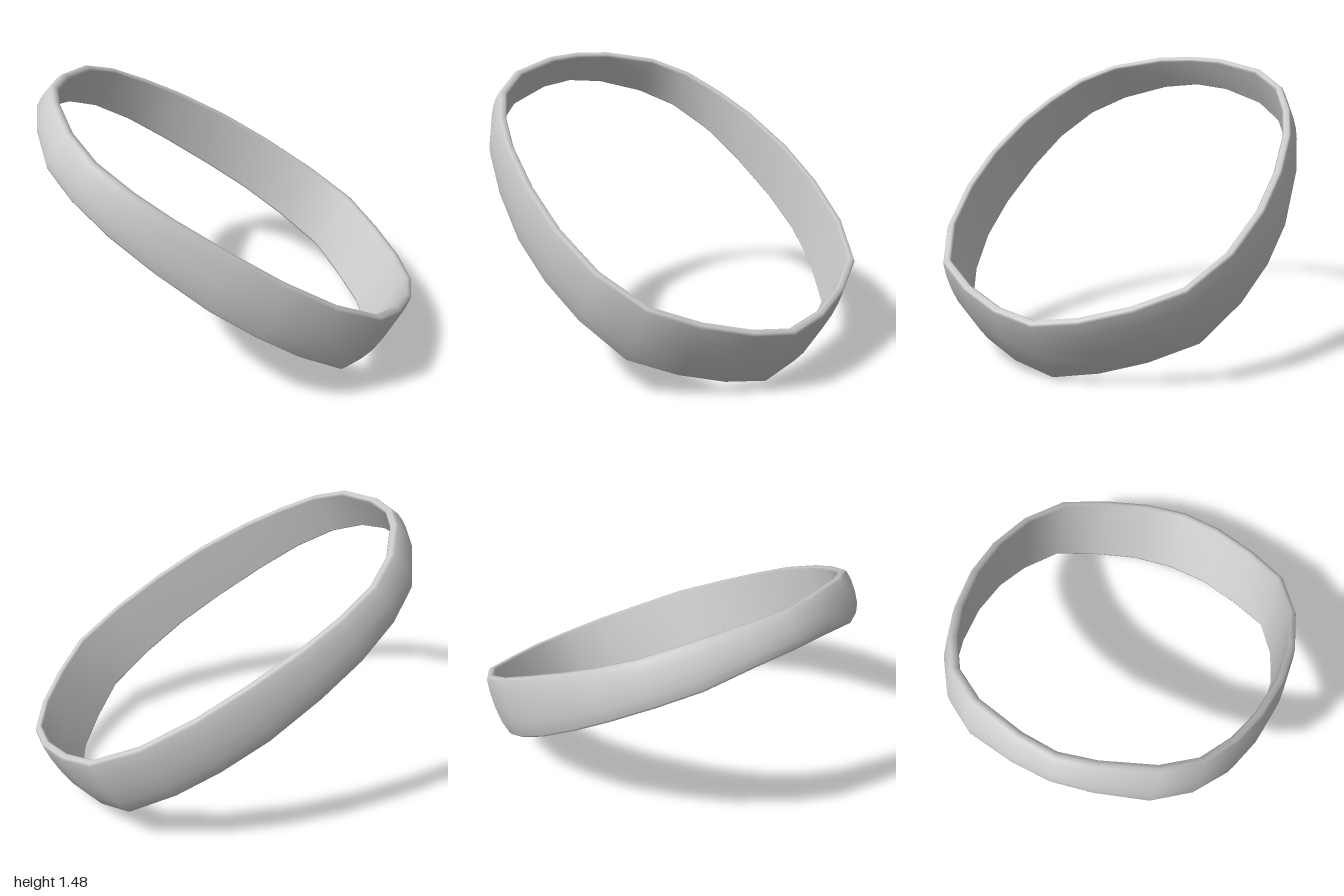
import * as THREE from 'three';

// Half of the ring, front (+x) to back (-x): top edge xyz, bottom edge xyz
const STATIONS = [
  [0.985, 0.33, 0, 0.772, 0.005, 0],
  [0.945, 0.36, 0.22, 0.735, 0.045, 0.225],
  [0.85, 0.42, 0.45, 0.65, 0.105, 0.44],
  [0.72, 0.505, 0.66, 0.53, 0.195, 0.655],
  [0.49, 0.645, 0.79, 0.31, 0.35, 0.77],
  [0.23, 0.81, 0.845, 0.1, 0.5, 0.825],
  [-0.02, 0.97, 0.845, -0.13, 0.66, 0.835],
  [-0.28, 1.125, 0.8, -0.38, 0.845, 0.795],
  [-0.47, 1.235, 0.73, -0.585, 1.0, 0.73],
  [-0.645, 1.34, 0.625, -0.765, 1.135, 0.61],
  [-0.77, 1.42, 0.455, -0.89, 1.225, 0.445],
  [-0.86, 1.468, 0.19, -0.96, 1.295, 0.2],
  [-0.89, 1.475, 0, -0.985, 1.315, 0],
];

// Band cross-section: [outward offset, fraction of height, extra rise]
const PROFILE = [
  [0.02, 0, 0.014], [0.036, 0.25, 0], [0.039, 0.5, 0], [0.034, 0.75, 0], [0.022, 1, -0.014],
  [0.012, 1, -0.002], [-0.012, 1, -0.002], [-0.022, 1, -0.014],
  [-0.014, 0.5, 0], [-0.02, 0, 0.014], [-0.01, 0, 0.002], [0.01, 0, 0.002],
];

function bandGeometry() {
  // Mirror the half ring across z
  const mirrored = STATIONS.slice(1, -1).reverse()
    .map(([a, b, c, d, e, f]) => [a, b, -c, d, e, -f]);
  const ring = [...STATIONS, ...mirrored].map((s) => ({
    top: new THREE.Vector3(s[0], s[1], s[2]),
    bottom: new THREE.Vector3(s[3], s[4], s[5]),
  }));
  const n = ring.length, m = PROFILE.length;
  const middle = (i) => {
    const s = ring[(i + n) % n];
    return s.top.clone().add(s.bottom).multiplyScalar(0.5);
  };

  const positions = [], index = [];
  ring.forEach(({ top, bottom }, i) => {
    const up = top.clone().sub(bottom).normalize();
    const along = middle(i + 1).sub(middle(i - 1));
    const out = up.clone().cross(along).normalize();
    for (const [offset, height, rise] of PROFILE) {
      const p = bottom.clone().lerp(top, height)
        .addScaledVector(out, offset).addScaledVector(up, rise);
      positions.push(p.x, p.y, p.z);
    }
    for (let j = 0; j < m; j++) {
      const k = (j + 1) % m, next = (i + 1) % n;
      const a = i * m + j, b = i * m + k, c = next * m + k, d = next * m + j;
      index.push(a, b, c, a, c, d);
    }
  });

  const geometry = new THREE.BufferGeometry();
  geometry.setAttribute('position', new THREE.Float32BufferAttribute(positions, 3));
  geometry.setIndex(index);
  geometry.computeVertexNormals();
  return geometry;
}

export function createModel() {
  const group = new THREE.Group();
  group.name = 'collar';
  const band = new THREE.Mesh(
    bandGeometry(),
    new THREE.MeshStandardMaterial({ color: 0xcccccc }),
  );
  band.name = 'collarBand';
  group.add(band);
  return group;
}
